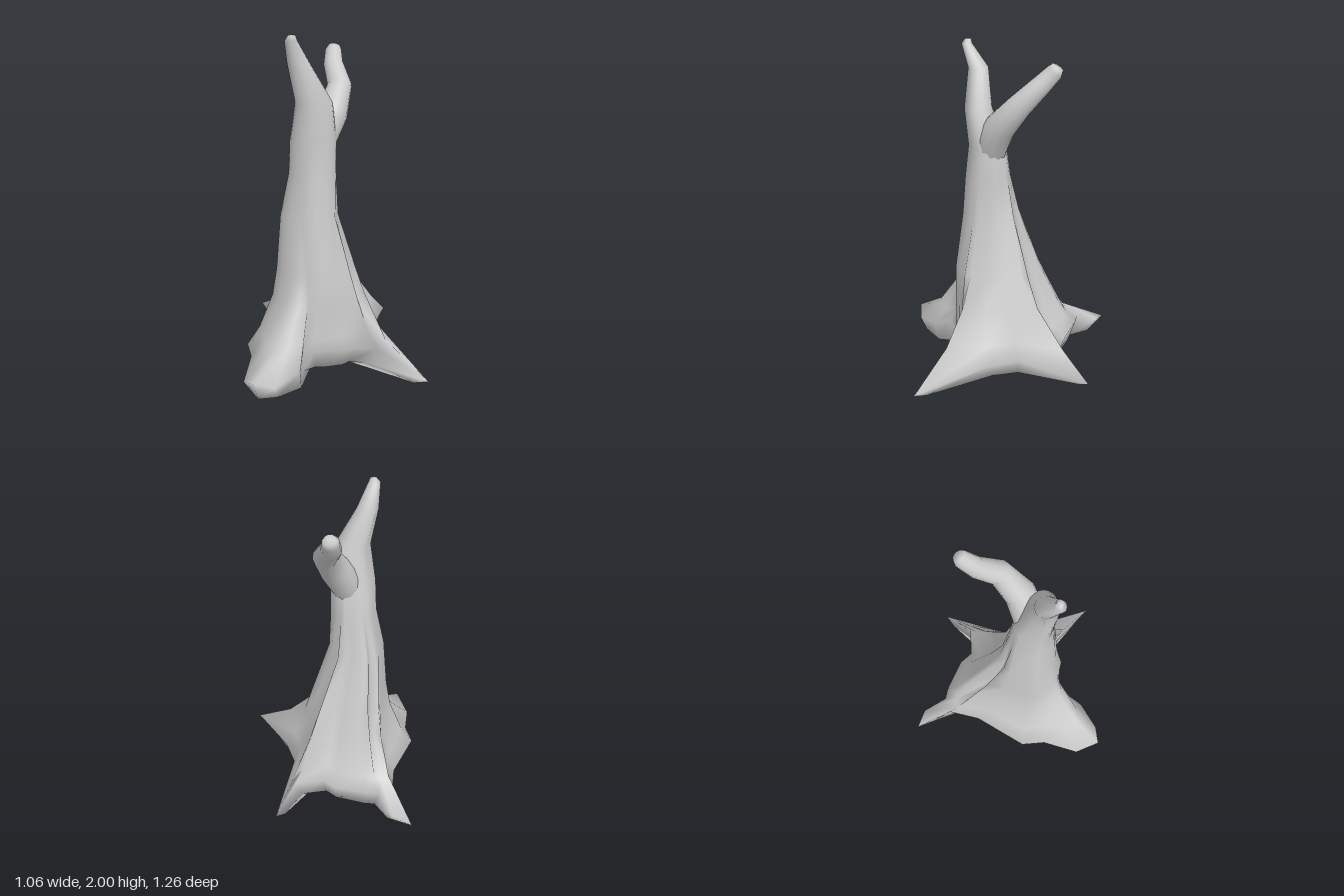
import * as THREE from 'three';
import { mergeVertices } from 'three/addons/utils/BufferGeometryUtils.js';

// Skin closed rings of equal length, listed from bottom to top
function loft(rings) {
  const n = rings[0].length, index = [];
  for (let i = 0; i < rings.length - 1; i++) {
    for (let j = 0; j < n; j++) {
      const a = i * n + j, b = i * n + (j + 1) % n;
      index.push(a, b, b + n, a, b + n, a + n);
    }
  }
  const geo = new THREE.BufferGeometry().setFromPoints(rings.flat());
  geo.setIndex(index);
  const merged = mergeVertices(geo, 1e-4);
  merged.computeVertexNormals();
  return merged;
}

// Rings square to a path of [x, y, z, radius]
function tubeRings(path, sides = 12) {
  const pts = path.map(p => new THREE.Vector3(p[0], p[1], p[2]));
  return path.map((p, i) => {
    const t = pts[Math.min(i + 1, pts.length - 1)].clone().sub(pts[Math.max(i - 1, 0)]).normalize();
    const v = t.clone().cross(new THREE.Vector3(1, 0, 0)).normalize();
    const u = v.clone().cross(t);
    return Array.from({ length: sides }, (_, j) => {
      const a = j / sides * Math.PI * 2;
      return pts[i].clone().addScaledVector(u, p[3] * Math.cos(a)).addScaledVector(v, p[3] * Math.sin(a));
    });
  });
}

// Root outline: x, z, matching angle on the trunk (degrees), height, falloff power
const outline = [
  // thick blunt root
  [-0.53, 0.45, 152, 0.06, 1.4], [-0.49, 0.60, 138, 0.12, 1.5], [-0.37, 0.60, 128, 0.08, 1.5],
  [-0.21, 0.51, 119, 0.12, 1.5], [-0.19, 0.40, 112, 0.15, 1.3],
  // front hollow
  [-0.10, 0.36, 102, 0.16, 1], [-0.03, 0.37, 85, 0.17, 1], [0.09, 0.36, 60, 0.16, 1],
  [0.15, 0.32, 46, 0.15, 0.9],
  // pointed front root
  [0.28, 0.38, 36, 0.16, 0.75], [0.52, 0.63, 26, 0.05, 1.8], [0.38, 0.18, 6, 0.14, 0.7],
  [0.355, 0.0, -18, 0.15, 0.62],
  // spiked back root
  [0.53, -0.40, -36, 0.08, 0.9], [0.38, -0.23, -46, 0.17, 0.5], [0.20, -0.235, -57, 0.17, 0.72],
  // broad back bulge with a thin spike
  [0.14, -0.31, -70, 0.17, 0.65], [-0.05, -0.41, -86, 0.18, 0.6], [-0.12, -0.43, -95, 0.18, 0.58],
  [-0.18, -0.58, -102, 0.12, 1.3], [-0.285, -0.635, -108, 0.085, 1.6], [-0.215, -0.40, -116, 0.17, 0.62],
  // side wall
  [-0.27, -0.21, -128, 0.15, 0.85], [-0.465, 0.08, -170, 0.12, 1], [-0.46, 0.23, -190, 0.11, 1.1],
];

// Trunk levels: y, root spread, centre x, centre z, radius x, radius z, flattening at front left
const levels = [
  [0.24, 0.67, -0.05, 0.16, 0.19, 0.19, 0.1],
  [0.45, 0.36, -0.06, 0.17, 0.17, 0.19, 0.22],
  [0.62, 0.17, -0.075, 0.17, 0.18, 0.19, 0.25],
  [0.95, 0.01, -0.095, 0.145, 0.165, 0.165, 0.2],
  [1.20, 0, -0.07, 0.15, 0.14, 0.138, 0.12],
  [1.40, 0, -0.065, 0.15, 0.135, 0.112, 0],
  [1.62, 0, -0.07, 0.2, 0.108, 0.082, 0],
  [1.84, 0, -0.155, 0.192, 0.065, 0.06, 0],
  [1.97, 0, -0.207, 0.255, 0.036, 0.032, 0],
  [2.0, 0, -0.2, 0.247, 0.02, 0.018, 0],
  [2.0, 0, -0.2, 0.247, 0, 0, 0],
];

export function createModel() {
  const group = new THREE.Group();
  const material = new THREE.MeshStandardMaterial({ color: 0xcccccc, side: THREE.DoubleSide });
  const add = (name, rings) => {
    const mesh = new THREE.Mesh(loft(rings), material);
    mesh.name = name;
    group.add(mesh);
  };

  // Trunk with flared roots, running up into the front branch
  const under = outline.map(() => new THREE.Vector3(-0.03, 0.04, 0.1));
  const lowerRim = outline.map(([x, z, , y], i) => {
    const blunt = i < 4, inset = blunt ? 0.94 : 0.88;
    return new THREE.Vector3(x * inset, blunt ? 0.005 : THREE.MathUtils.clamp(y - 0.04, 0.01, 0.045), z * inset);
  });
  const upperRim = outline.map(([x, z, , y]) => new THREE.Vector3(x, y, z));
  const body = levels.map(([y, spread, cx, cz, rx, rz, flat]) => outline.map(([x, z, deg, , power]) => {
    const a = THREE.MathUtils.degToRad(deg);
    const s = 1 - flat * Math.max(0, Math.cos(a - Math.PI * 0.75)) ** 4;
    const w = spread ** power;
    return new THREE.Vector3(
      THREE.MathUtils.lerp(cx + s * rx * Math.cos(a), x, w), y,
      THREE.MathUtils.lerp(cz + s * rz * Math.sin(a), z, w));
  }));
  add('trunkAndRoots', [under, lowerRim, upperRim, ...body]);

  // Bent branch reaching backward
  add('backBranch', tubeRings([
    [-0.06, 1.22, 0.15, 0.07], [-0.022, 1.4, 0.13, 0.102], [0.062, 1.54, 0.078, 0.092],
    [0.128, 1.68, -0.03, 0.073], [0.115, 1.79, -0.15, 0.06], [0.13, 1.868, -0.222, 0.05],
    [0.137, 1.893, -0.235, 0.037], [0.137, 1.895, -0.237, 0],
  ]));
  return group;
}
